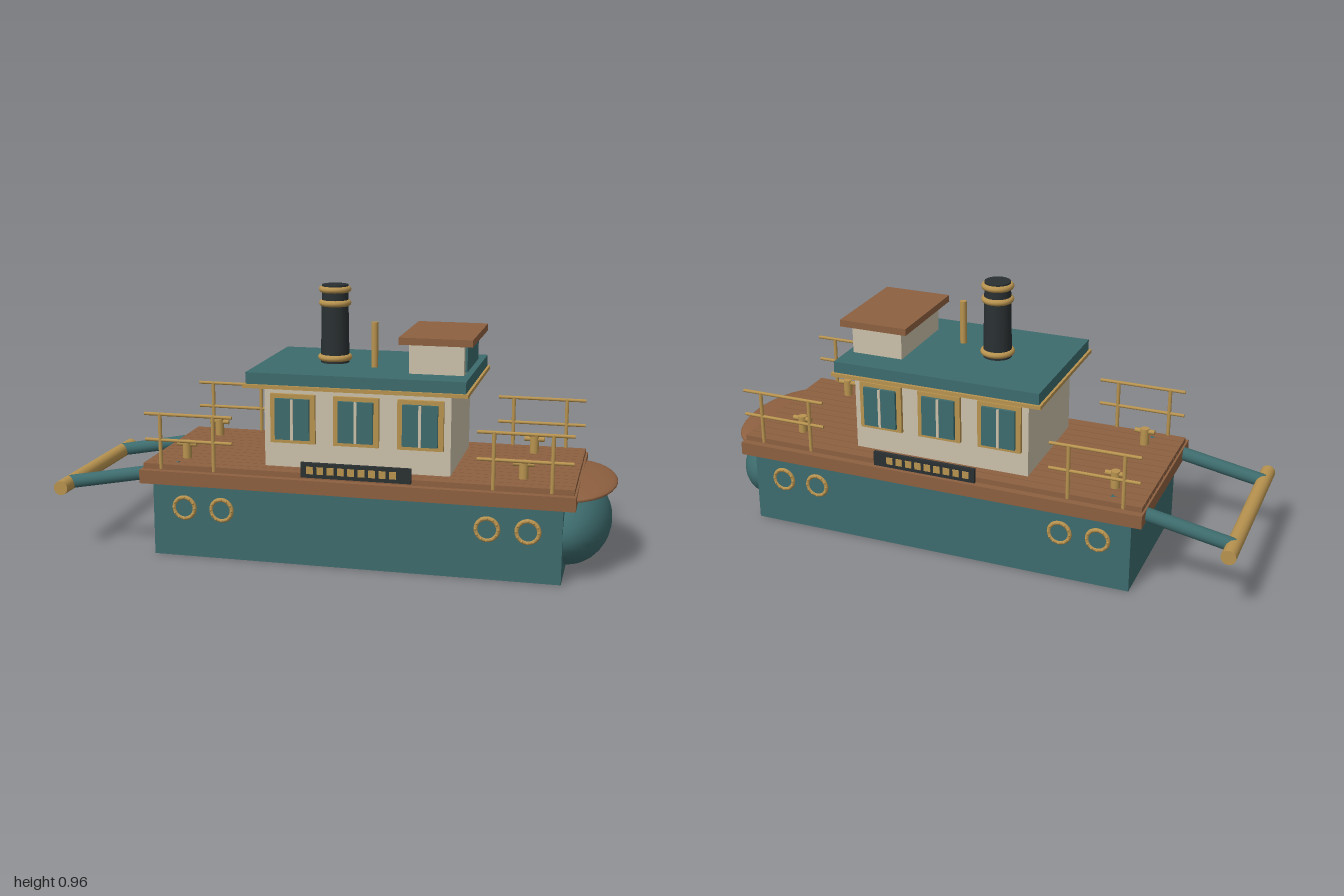
import * as THREE from 'three';

const mat = (name, color) => {
  const m = new THREE.MeshStandardMaterial({ color });
  m.name = name;
  return m;
};

export function createModel() {
  const teal = mat('teal paint', 0x3d6b6d);
  const wood = mat('brown wood', 0x8e6040);
  const brass = mat('brass', 0xb8934f);
  const cream = mat('cream paint', 0xcbc1aa);
  const dark = mat('dark iron', 0x2a3032);

  const boat = new THREE.Group();
  boat.name = 'boat';

  const add = (name, geometry, material, x, y, z, parent = boat) => {
    const mesh = new THREE.Mesh(geometry, material);
    mesh.name = name;
    mesh.position.set(x, y, z);
    parent.add(mesh);
    return mesh;
  };
  // Box given by its extents
  const box = (name, material, x0, x1, y0, y1, z0, z1, parent) =>
    add(name, new THREE.BoxGeometry(x1 - x0, y1 - y0, z1 - z0), material,
      (x0 + x1) / 2, (y0 + y1) / 2, (z0 + z1) / 2, parent);
  // Round bar between two points
  const bar = (name, material, a, b, r, parent, sides = 16) => {
    const p = new THREE.Vector3(...a), q = new THREE.Vector3(...b);
    const mid = p.clone().add(q).multiplyScalar(0.5);
    const mesh = add(name, new THREE.CylinderGeometry(r, r, p.distanceTo(q), sides), material, mid.x, mid.y, mid.z, parent);
    mesh.quaternion.setFromUnitVectors(new THREE.Vector3(0, 1, 0), q.sub(p).normalize());
    return mesh;
  };
  const group = (name) => {
    const g = new THREE.Group();
    g.name = name;
    boat.add(g);
    return g;
  };

  // Hull and rounded bow
  box('hull', teal, -0.63, 0.83, 0, 0.27, -0.292, 0.292);
  add('bow', new THREE.SphereGeometry(1, 32, 20), teal, 0.83, 0.155, 0).scale.set(0.152, 0.15, 0.285);
  add('bowDeck', new THREE.SphereGeometry(1, 32, 16), wood, 0.83, 0.293, 0).scale.set(0.167, 0.024, 0.286);

  // Deck with planks
  box('deck', wood, -0.672, 0.872, 0.268, 0.317, -0.319, 0.319);
  const planks = group('planks');
  for (let i = -6; i <= 6; i++) {
    const z = i * 0.0455;
    box('plank', wood, -0.665, 0.865, 0.317, 0.337, z - 0.021, z + 0.021, planks);
  }

  // Cabin and its roof
  box('cabin', cream, -0.23, 0.435, 0.317, 0.628, -0.221, 0.221);
  box('roofTrim', brass, -0.293, 0.5, 0.627, 0.64, -0.28, 0.28);
  box('roof', teal, -0.284, 0.491, 0.64, 0.681, -0.27, 0.27);

  // Wheelhouse
  box('wheelhouse', cream, 0.275, 0.467, 0.681, 0.786, -0.163, 0.163);
  box('wheelhouseWindow', teal, 0.467, 0.475, 0.689, 0.78, -0.135, 0.135);
  box('wheelhouseRoof', wood, 0.243, 0.5, 0.786, 0.811, -0.193, 0.193);

  // Funnel with brass bands, and whistle
  const funnel = group('funnel');
  add('funnelPipe', new THREE.CylinderGeometry(0.047, 0.052, 0.282, 24), dark, -0.028, 0.822, 0, funnel);
  for (const [y, r] of [[0.7, 0.051], [0.897, 0.047], [0.946, 0.047]]) {
    const band = add('funnelBand', new THREE.TorusGeometry(r, 0.0115, 10, 28), brass, -0.028, y, 0, funnel);
    band.rotation.x = Math.PI / 2;
  }
  bar('whistle', brass, [0.134, 0.68, 0.071], [0.134, 0.843, 0.071], 0.0125);

  // Stern roller
  bar('sternRoller', brass, [-0.973, 0.233, -0.334], [-0.973, 0.233, 0.334], 0.0265, boat, 20);

  for (const s of [1, -1]) {
    const span = (a, b) => (s > 0 ? [a, b] : [-b, -a]);
    bar('sternArm', teal, [-0.975, 0.235, s * 0.25], [-0.54, 0.315, s * 0.25], 0.025);

    // Cabin windows
    for (const x of [-0.125, 0.103, 0.33]) {
      const win = group('cabinWindow');
      box('windowFrame', brass, x - 0.081, x + 0.081, 0.426, 0.602, ...span(0.215, 0.234), win);
      box('windowGlass', teal, x - 0.062, x + 0.062, 0.44, 0.587, ...span(0.234, 0.245), win);
      box('windowBar', cream, x - 0.005, x + 0.005, 0.44, 0.587, ...span(0.24, 0.248), win);
    }

    // Side board with a row of plain brass blocks
    const board = group('sideBoard');
    box('board', dark, -0.071, 0.317, 0.331, 0.384, ...span(0.316, 0.329), board);
    for (let i = 0; i < 9; i++) {
      const x = -0.038 + i * 0.0365;
      box('boardBlock', brass, x - 0.012, x + 0.012, 0.345, 0.371, ...span(0.329, 0.332), board);
    }

    // Portholes with bolts
    for (const x of [-0.513, -0.374, 0.575, 0.714]) {
      const port = group('porthole');
      add('portholeRing', new THREE.TorusGeometry(0.038, 0.008, 8, 28), brass, x, 0.18, s * 0.292, port);
      bar('portholeGlass', teal, [x, 0.18, s * 0.288], [x, 0.18, s * 0.296], 0.034, port, 24);
      for (let i = 0; i < 12; i++) {
        const a = (i / 12) * Math.PI * 2;
        add('bolt', new THREE.SphereGeometry(0.005, 8, 6), brass,
          x + Math.cos(a) * 0.039, 0.18 + Math.sin(a) * 0.039, s * 0.298, port);
      }
    }

    // Railings fore and aft
    for (const [x0, x1] of [[-0.655, -0.33], [0.535, 0.86]]) {
      const rail = group('railing');
      const z = s * 0.291;
      for (const y of [0.425, 0.519]) bar('rail', brass, [x0, y, z], [x1, y, z], 0.006, rail, 10);
      for (const x of [x0 + 0.057, x1 - 0.07]) bar('railPost', brass, [x, 0.32, z], [x, 0.522, z], 0.007, rail, 10);
    }

    // Mooring bollards
    for (const x of [-0.537, 0.683]) {
      const bollard = group('bollard');
      const z = s * 0.184;
      bar('bollardPost', brass, [x, 0.33, z], [x, 0.4, z], 0.0165, bollard);
      bar('bollardPin', brass, [x - 0.037, 0.389, z], [x + 0.037, 0.389, z], 0.009, bollard, 10);
    }
  }
  return boat;
}
